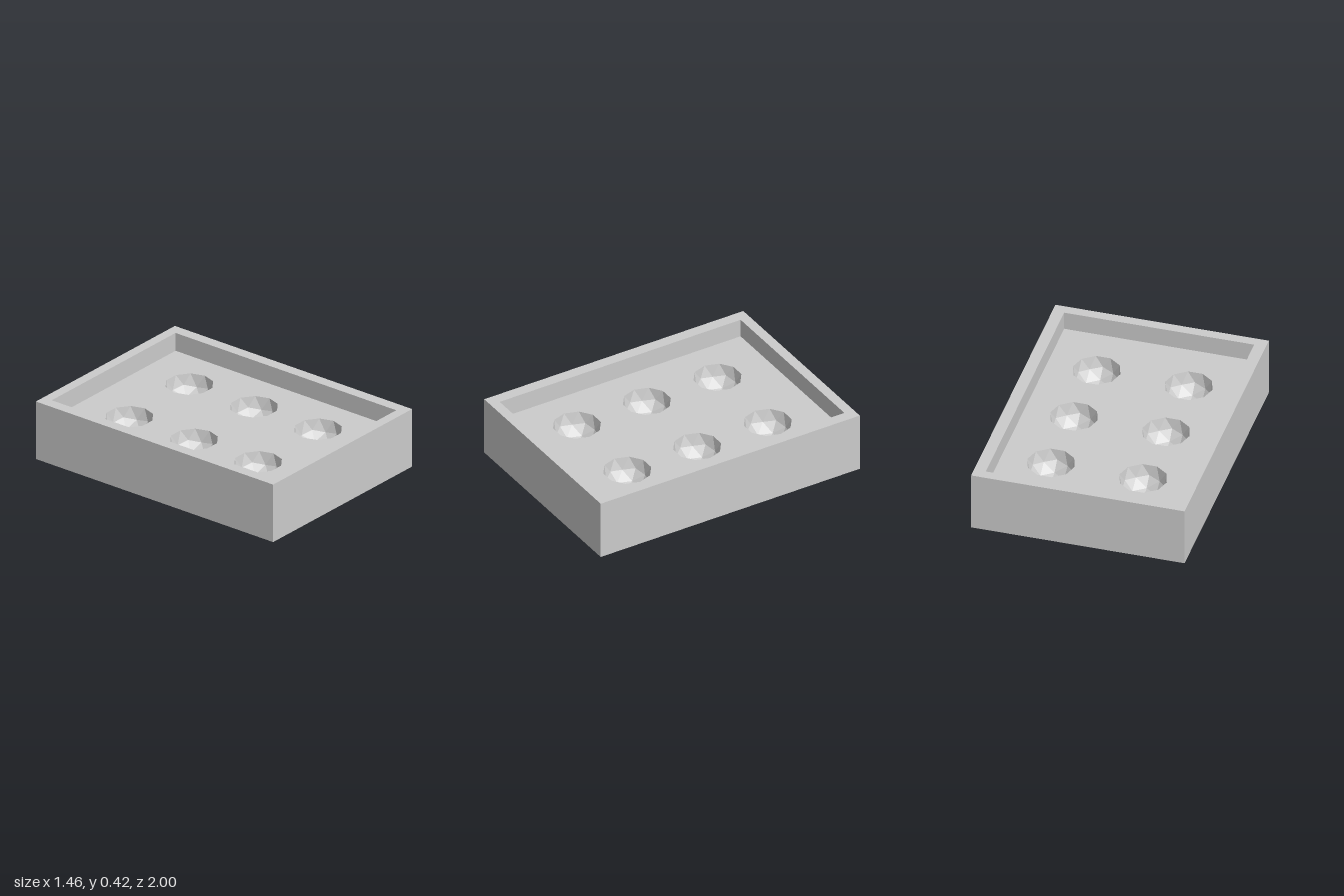
import * as THREE from 'three';

const W = 1.46, D = 2, H = 0.42;          // outer tray
const IW = 1.3, ID = 1.86, FLOOR = 0.29;  // recess
const R = 0.162;                          // bowl radius

function rectangle(PathType, w, d) {
  return new PathType([[-1, -1], [1, -1], [1, 1], [-1, 1]].map(([x, y]) => new THREE.Vector2(x * w / 2, y * d / 2)));
}

// Ten-sided opening that matches the rim of a bowl
function opening(x, z) {
  const points = [];
  for (let i = 0; i < 10; i++) {
    const a = i * Math.PI / 5;
    points.push(new THREE.Vector2(x + R * Math.cos(a), -z + R * Math.sin(a)));
  }
  return new THREE.Path(points);
}

// Lower half of a faceted sphere, turned so that it is seen from inside
function bowlGeometry() {
  const sphere = new THREE.IcosahedronGeometry(R, 1);
  sphere.rotateZ(-Math.atan(2 / (1 + Math.sqrt(5)))); // a corner at the top gives a level rim
  sphere.rotateY(Math.PI / 10);
  const p = sphere.attributes.position;
  const corners = [];
  for (let i = 0; i < p.count; i += 3) {
    if (p.getY(i) + p.getY(i + 1) + p.getY(i + 2) > 0) continue;
    for (const j of [i, i + 2, i + 1]) corners.push(p.getX(j), p.getY(j), p.getZ(j));
  }
  const geometry = new THREE.BufferGeometry();
  geometry.setAttribute('position', new THREE.Float32BufferAttribute(corners, 3));
  geometry.computeVertexNormals();
  return geometry;
}

export function createModel() {
  const group = new THREE.Group();
  const material = new THREE.MeshStandardMaterial({ color: 0xcccccc, flatShading: true });
  const add = (name, geometry) => {
    const mesh = new THREE.Mesh(geometry, material);
    mesh.name = name;
    group.add(mesh);
    return mesh;
  };

  // Outer walls with their rim
  const frame = rectangle(THREE.Shape, W, D);
  frame.holes.push(rectangle(THREE.Path, IW, ID));
  add('walls', new THREE.ExtrudeGeometry(frame, { depth: H, bevelEnabled: false }).rotateX(-Math.PI / 2));

  // Underside
  add('underside', new THREE.ShapeGeometry(rectangle(THREE.Shape, IW, ID)).rotateX(Math.PI / 2));

  // Recessed floor with six bowls
  const floor = rectangle(THREE.Shape, IW, ID);
  const bowl = bowlGeometry();
  for (const x of [-0.315, 0.315]) {
    for (const z of [-0.545, 0, 0.54]) {
      floor.holes.push(opening(x, z));
      add('bowl', bowl).position.set(x, FLOOR, z);
    }
  }
  add('floor', new THREE.ShapeGeometry(floor).rotateX(-Math.PI / 2)).position.y = FLOOR;

  return group;
}
